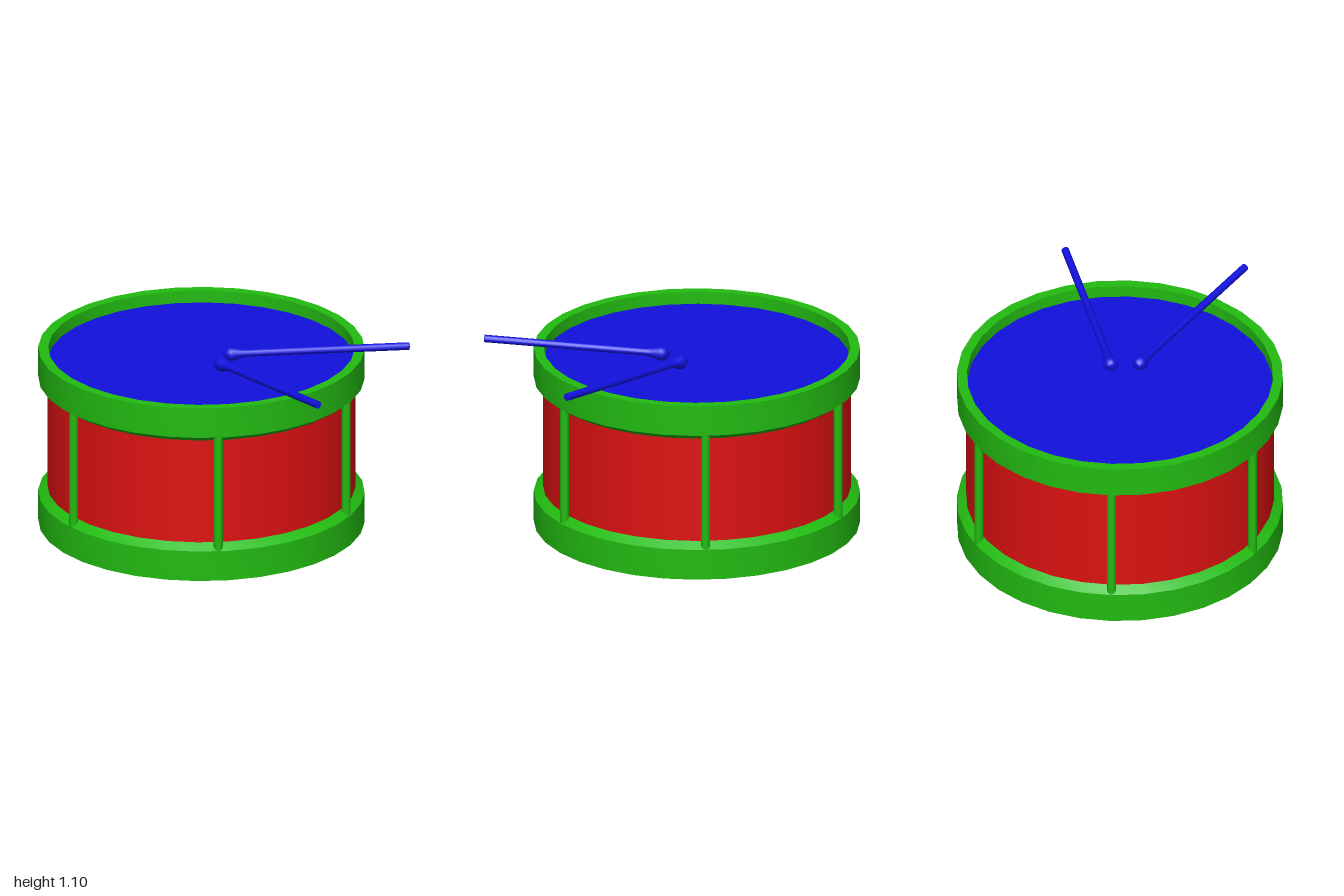
import * as THREE from 'three';
import { toCreasedNormals } from 'three/addons/utils/BufferGeometryUtils.js';

const green = new THREE.MeshStandardMaterial({ color: 0x22bb11 });
const red = new THREE.MeshStandardMaterial({ color: 0xdd1111, side: THREE.DoubleSide });
const blue = new THREE.MeshStandardMaterial({ color: 0x1111dd });

const HEIGHT = 1.025;
const SIDES = 32;

function part(name, geometry, material) {
  const mesh = new THREE.Mesh(geometry, material);
  mesh.name = name;
  return mesh;
}

// Turned shape from [radius, height] pairs, with sharp profile corners
function turned(profile, sides) {
  const points = profile.map(([r, y]) => new THREE.Vector2(r, y));
  return toCreasedNormals(new THREE.LatheGeometry(points, sides), 0.5);
}

// Rim with a bevelled inner edge and a recessed skin, facing down
function drumEnd(prefix) {
  const end = new THREE.Group();
  end.name = prefix + 'End';
  const rim = turned([[0.845, 0], [0.9, 0], [0.9, 0.175], [0.85, 0.21], [0.845, 0.21], [0.845, 0]], SIDES);
  const skin = new THREE.CircleGeometry(0.847, SIDES).rotateX(Math.PI / 2).translate(0, 0.07, 0);
  end.add(part(prefix + 'Rim', rim, green), part(prefix + 'Skin', skin, blue));
  return end;
}

// Tapered stick with a round tip, laid from tip centre to handle end
function drumstick(name, tip, end) {
  const direction = new THREE.Vector3().subVectors(end, tip);
  const length = direction.length();
  const stick = new THREE.Group();
  stick.name = name;
  const head = [[0, -0.042], [0.024, -0.034], [0.038, -0.016], [0.042, 0.002], [0.038, 0.022], [0.028, 0.05], [0.021, 0.085]];
  const geometry = turned([...head, [0.021, length], [0, length]], 16);
  stick.add(part(name + 'Wood', geometry, blue));
  stick.position.copy(tip);
  stick.quaternion.setFromUnitVectors(new THREE.Vector3(0, 1, 0), direction.normalize());
  return stick;
}

export function createModel() {
  const model = new THREE.Group();
  model.name = 'drumWithSticks';

  const drum = new THREE.Group();
  drum.name = 'drum';
  drum.position.x = -0.1;
  model.add(drum);

  // Shell
  const shell = new THREE.CylinderGeometry(0.85, 0.85, 0.63, SIDES, 1, true);
  shell.translate(0, HEIGHT / 2, 0);
  drum.add(part('shell', shell, red));

  // Matching ends, the top one turned over
  const top = drumEnd('top');
  top.rotation.x = Math.PI;
  top.position.y = HEIGHT;
  drum.add(drumEnd('bottom'), top);

  // Six tension rods between the rims
  const rodGeometry = new THREE.CylinderGeometry(0.025, 0.025, 0.7, 12);
  for (let i = 0; i < 6; i++) {
    const angle = (i * Math.PI) / 3;
    const rod = part('tensionRod' + (i + 1), rodGeometry, green);
    rod.position.set(0.872 * Math.cos(angle), HEIGHT / 2, 0.872 * Math.sin(angle));
    drum.add(rod);
  }

  // Sticks resting on the skin and over the rim
  model.add(
    drumstick('backStick', new THREE.Vector3(0.05, 0.993, -0.06), new THREE.Vector3(0.993, 1.08, -0.362)),
    drumstick('frontStick', new THREE.Vector3(0.065, 0.993, 0.1), new THREE.Vector3(0.885, 1.08, 0.637))
  );
  return model;
}
